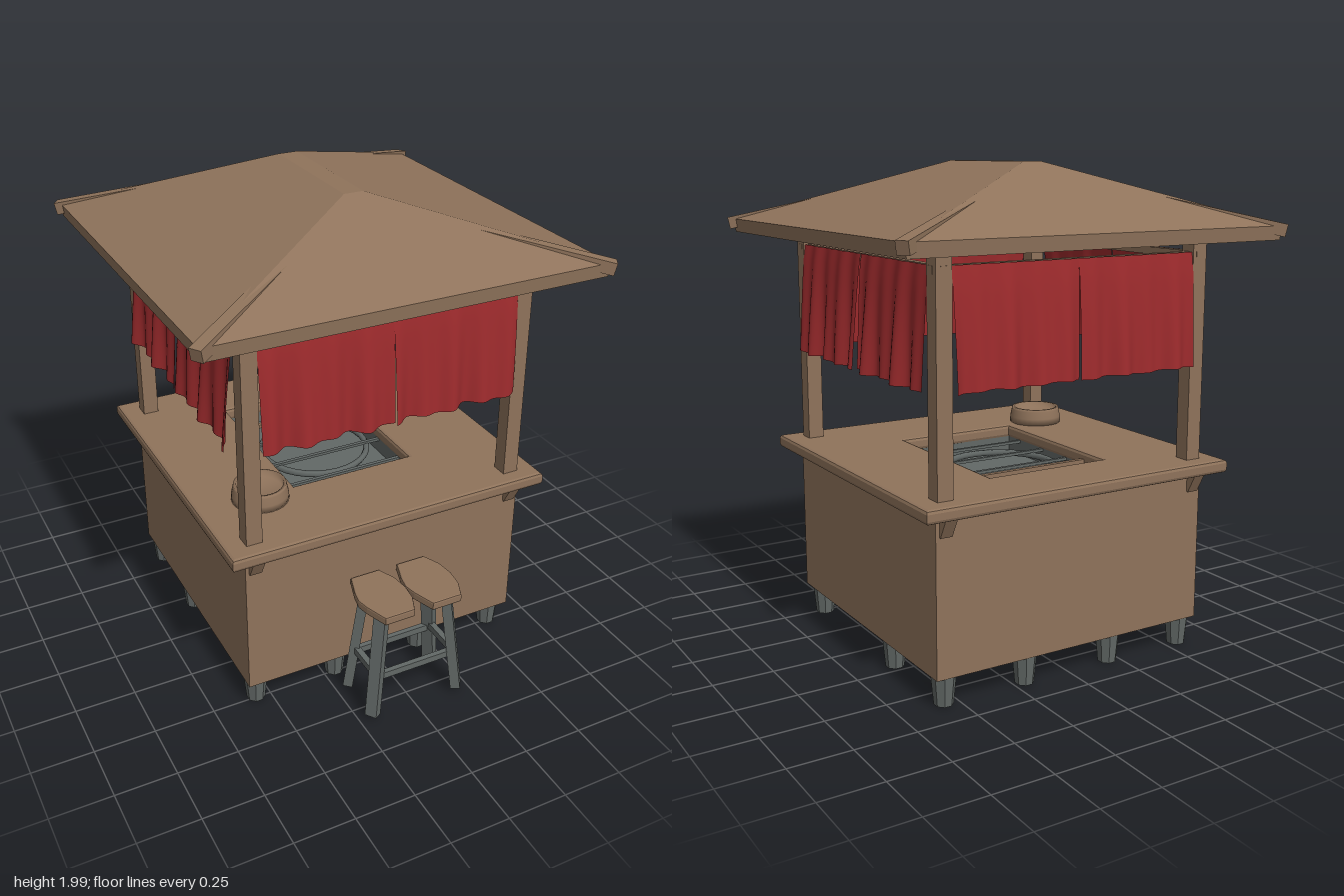
import * as THREE from 'three';

const wood = new THREE.MeshStandardMaterial({ color: 0x8f735b });
const cloth = new THREE.MeshStandardMaterial({ color: 0x9e2b2d, side: THREE.DoubleSide });
const iron = new THREE.MeshStandardMaterial({ color: 0x626866 });
wood.name = 'wood'; cloth.name = 'red cloth'; iron.name = 'grey metal';

const ZC = -0.045; // middle of the stall, front to back

export function createModel() {
  const model = new THREE.Group();
  model.name = 'marketStall';

  function add(name, geometry, material, x = 0, y = 0, z = 0, parent = model) {
    const mesh = new THREE.Mesh(geometry, material);
    mesh.name = name;
    mesh.position.set(x, y, z);
    parent.add(mesh);
    return mesh;
  }
  const box = (name, mat, w, h, d, x, y, z, parent) =>
    add(name, new THREE.BoxGeometry(w, h, d), mat, x, y, z, parent);

  // square bar running from a to b, in the parent's own frame
  function beam(name, mat, a, b, w, h, parent) {
    const p = new THREE.Vector3(...a), q = new THREE.Vector3(...b);
    const mesh = box(name, mat, w, h, p.distanceTo(q), 0, 0, 0, parent);
    mesh.position.copy(p).add(q).multiplyScalar(0.5);
    mesh.quaternion.setFromRotationMatrix(new THREE.Matrix4().lookAt(q, p, mesh.up));
  }

  // rectangular slab with the cooking opening cut through it
  function slab(hx, z0, z1, depth, bevel) {
    const rect = (P, x0, x1, a, b) =>
      new P([[x0, -b], [x1, -b], [x1, -a], [x0, -a]].map(p => new THREE.Vector2(...p)));
    const shape = rect(THREE.Shape, -hx + bevel, hx - bevel, z0 + bevel, z1 - bevel);
    shape.holes.push(rect(THREE.Path, -0.28, 0.28, -0.47, 0.27));
    const g = new THREE.ExtrudeGeometry(shape, {
      depth: depth - 2 * bevel, bevelEnabled: bevel > 0, bevelSize: bevel, bevelThickness: bevel, bevelSegments: 2,
    });
    return g.rotateX(-Math.PI / 2).translate(0, bevel, 0);
  }

  // cabinet and counter
  add('cabinet', slab(0.615, -0.65, 0.56, 0.64, 0), wood, 0, 0.13, 0);
  box('cabinetFloor', wood, 1.228, 0.02, 1.208, 0, 0.139, ZC);
  add('counter', slab(0.692, -0.728, 0.63, 0.055, 0.014), wood, 0, 0.758, 0);

  // sunken grill
  box('grillFloor', iron, 0.56, 0.01, 0.74, 0, 0.69, -0.1);
  for (const s of [-1, 1]) {
    box('grillWall', iron, 0.01, 0.09, 0.74, s * 0.276, 0.735, -0.1);
    box('grillWall', iron, 0.56, 0.09, 0.01, 0, 0.735, -0.1 + s * 0.366);
  }
  for (let i = 0; i < 4; i++) box('grillBar', iron, 0.55, 0.012, 0.016, 0, 0.755, -0.37 + i * 0.18);
  add('grillRing', new THREE.TorusGeometry(0.23, 0.014, 6, 32).rotateX(Math.PI / 2), iron, 0, 0.74, -0.1);
  box('grillCrossbar', wood, 0.54, 0.016, 0.02, 0, 0.775, -0.32);

  // shallow drum-shaped dish
  const dish = [[0, 0], [0.117, 0], [0.115, 0.03], [0.108, 0.062], [0.106, 0.072], [0.094, 0.072], [0.09, 0.045], [0, 0.042]];
  add('dish', new THREE.LatheGeometry(dish.map(p => new THREE.Vector2(...p)), 28), wood, -0.425, 0.811, 0.278);

  // corner posts, and counter brackets on front and back
  for (const sx of [-1, 1]) for (const sz of [-1, 1]) {
    const x = sx * 0.575;
    box('post', wood, 0.066, 1.0, 0.066, x, 1.3, ZC + sz * 0.575);
    beam('counterBracket', wood, [x, 0.69, ZC + sz * 0.59], [x, 0.765, ZC + sz * 0.63], 0.05, 0.05);
  }

  // stubby feet around the cabinet
  const foot = new THREE.CylinderGeometry(0.05, 0.038, 0.125, 8).rotateY(Math.PI / 8).toNonIndexed();
  foot.computeVertexNormals();
  const feet = [[-0.56, -0.2], [0.56, -0.2]];
  for (const x of [-0.56, -0.2, 0.2, 0.56]) feet.push([x, 0.49], [x, -0.6]);
  for (const [x, z] of feet) add('foot', foot, iron, x, 0.073, z);

  // curtain of two gathered panels, hanging from a rail on each side
  function curtain(parent, seed) {
    for (const s of [-1, 1]) {
      const g = new THREE.PlaneGeometry(0.545, 0.45, 48, 8);
      const p = g.attributes.position;
      for (let i = 0; i < p.count; i++) {
        const u = p.getX(i) / 0.545 + 0.5, v = 0.5 - p.getY(i) / 0.45;
        const fold = Math.sin(u * 27 + seed + s) * 0.55 + Math.sin(u * 15 + seed * 2 + v) * 0.45;
        p.setZ(i, 0.024 + 0.036 * v ** 0.7 + fold * (0.005 + 0.02 * v));
        p.setY(i, p.getY(i) + 0.003 * v * Math.sin(u * 13 + seed));
      }
      g.computeVertexNormals();
      add('curtainPanel', g, cloth, s * 0.271, 1.427, 0.575, parent);
    }
    box('curtainRail', wood, 1.22, 0.03, 0.03, 0, 1.638, 0.572, parent);
  }
  ['front', 'left', 'back', 'right'].forEach((side, i) => {
    const group = new THREE.Group();
    group.name = side + 'Curtain';
    group.position.z = ZC;
    group.rotation.y = i * Math.PI / 2;
    model.add(group);
    curtain(group, i * 1.7 + 0.4);
  });

  // hollow hipped roof, lofted through rectangular loops
  const loops = [
    [0.04, -0.33, 0.24, 2.0],
    [0.822, -0.843, 0.743, 1.755],
    [0.815, -0.838, 0.738, 1.7],
    [0.03, -0.32, 0.23, 1.95],
  ].map(([x, z0, z1, y]) => [[x, y, z1], [x, y, z0], [-x, y, z0], [-x, y, z1]]);
  const tri = [];
  const quad = (a, b, c, d) => tri.push(...a, ...b, ...c, ...a, ...c, ...d);
  quad(...loops[0]);
  quad(...[...loops[3]].reverse());
  for (let k = 0; k < 3; k++) for (let i = 0; i < 4; i++) {
    const j = (i + 1) % 4;
    quad(loops[k][i], loops[k + 1][i], loops[k + 1][j], loops[k][j]);
  }
  const roof = new THREE.BufferGeometry();
  roof.setAttribute('position', new THREE.Float32BufferAttribute(tri, 3));
  roof.computeVertexNormals();
  add('roof', roof, wood);

  // hip rafters that sink into the roof, with projecting ends, and ties below
  for (const sx of [-1, 1]) {
    for (const [ze, zr] of [[0.752, 0.24], [-0.848, -0.33]])
      beam('hipRafter', wood, [sx * 0.834, 1.737, ze], [sx * 0.04, 1.945, zr], 0.05, 0.05);
    beam('roofTie', wood, [sx * 0.575, 1.75, -0.6], [sx * 0.575, 1.75, 0.51], 0.04, 0.03);
    beam('roofTie', wood, [-0.57, 1.77, ZC + sx * 0.56], [0.57, 1.77, ZC + sx * 0.56], 0.04, 0.03);
    beam('roofBrace', wood, [sx * 0.57, 1.74, ZC - 0.3], [sx * 0.2, 1.86, ZC - 0.2], 0.07, 0.02);
  }

  // stool with a two-lobed seat
  const stool = new THREE.Group();
  stool.name = 'stool';
  stool.position.z = 0.715;
  model.add(stool);
  const lobe = new THREE.Shape([[-0.06, -0.138], [0.06, -0.138], [0.09, -0.07], [0.098, 0], [0.09, 0.07],
    [0.06, 0.138], [-0.06, 0.138], [-0.09, 0.05], [-0.1, 0], [-0.09, -0.05]].map(p => new THREE.Vector2(...p)));
  const seat = new THREE.ExtrudeGeometry(lobe, {
    depth: 0.022, bevelSize: 0.006, bevelThickness: 0.007, bevelSegments: 2,
  }).rotateX(-Math.PI / 2);
  for (const sx of [-1, 1]) {
    add('seat', seat, wood, sx * 0.105, 0.5, 0, stool);
    for (const sz of [-1, 1])
      beam('stoolLeg', iron, [sx * 0.195, 0.03, sz * 0.105], [sx * 0.145, 0.5, sz * 0.07], 0.05, 0.04, stool);
    beam('stoolRung', iron, [sx * 0.175, 0.22, -0.09], [sx * 0.175, 0.22, 0.09], 0.025, 0.03, stool);
    beam('stoolRung', iron, [-0.175, 0.205, sx * 0.09], [0.175, 0.205, sx * 0.09], 0.022, 0.028, stool);
  }
  return model;
}
